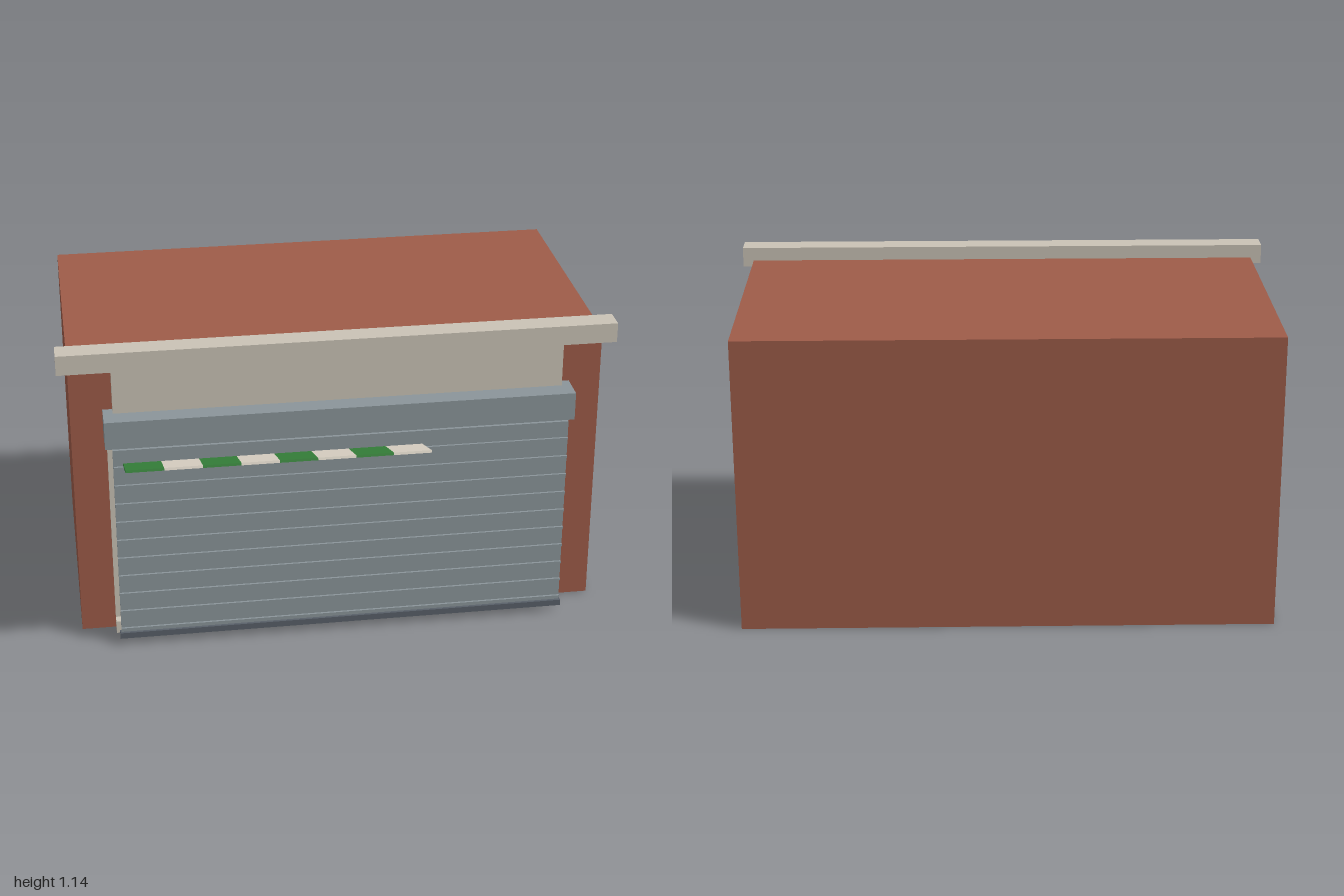
import * as THREE from 'three';

const material = (name, color) => {
  const m = new THREE.MeshStandardMaterial({ color });
  m.name = name;
  return m;
};

export function createModel() {
  const brick = material('brick', 0x9e5c49);
  const stone = material('stone', 0xcac3b6);
  const steel = material('shutter steel', 0x8b959a);
  const darkSteel = material('dark steel', 0x596069);
  const green = material('awning green', 0x37833b);
  const cream = material('awning cream', 0xdfd7c9);
  const glass = material('dark glass', 0x3c4a52);

  const model = new THREE.Group();
  model.name = 'shopUnit';

  // Box given by its min and max on each axis
  const box = (name, mat, [x0, x1], [y0, y1], [z0, z1], parent = model) => {
    const mesh = new THREE.Mesh(new THREE.BoxGeometry(x1 - x0, y1 - y0, z1 - z0), mat);
    mesh.position.set((x0 + x1) / 2, (y0 + y1) / 2, (z0 + z1) / 2);
    mesh.name = name;
    parent.add(mesh);
    return mesh;
  };

  // Building and stone trim
  box('building', brick, [-0.96, 0.96], [0, 1.09], [-0.655, 0.36]);
  box('cornice', stone, [-1, 1], [1.067, 1.14], [0.33, 0.415]);
  box('fascia', stone, [-0.81, 0.81], [0.89, 1.067], [0.36, 0.398]);
  box('frontPanel', stone, [-0.835, 0.835], [0, 0.79], [0.36, 0.37]);
  box('sill', stone, [-0.835, 0.835], [0, 0.048], [0.36, 0.405]);

  // Door and window behind the shutter
  box('door', darkSteel, [0.37, 0.75], [0.048, 0.685], [0.37, 0.376]);
  box('doorGlass', glass, [0.42, 0.7], [0.36, 0.61], [0.376, 0.381]);
  box('shopWindow', glass, [-0.74, 0.24], [0.36, 0.685], [0.37, 0.377]);

  // Roller shutter: housing, curtain, ribs and bottom bar
  box('shutterHousing', steel, [-0.845, 0.845], [0.795, 0.9], [0.36, 0.47]);
  const shutter = new THREE.Group();
  shutter.name = 'shutter';
  model.add(shutter);
  box('shutterCurtain', steel, [-0.82, 0.82], [0.03, 0.795], [0.47, 0.481], shutter);
  for (let i = 0; i < 10; i++) {
    const y = 0.065 + i * 0.0737;
    box('shutterRib', steel, [-0.82, 0.82], [y - 0.004, y + 0.004], [0.481, 0.489], shutter);
  }
  box('shutterBar', darkSteel, [-0.825, 0.825], [0.027, 0.05], [0.467, 0.491], shutter);

  // Striped awning, rising outwards from the wall
  const awning = new THREE.Group();
  awning.name = 'awning';
  const rise = 0.102, run = 0.285;
  awning.position.set(-0.25, 0.75, 0.5125);
  awning.rotation.x = -Math.atan2(rise, run);
  const half = Math.hypot(rise, run) / 2;
  const stripe = 1.07 / 8;
  for (let i = 0; i < 8; i++) {
    const x = -0.535 + i * stripe;
    box('awningStripe', i % 2 ? cream : green, [x, x + stripe], [-0.0045, 0.0045], [-half, half], awning);
  }
  model.add(awning);

  return model;
}
